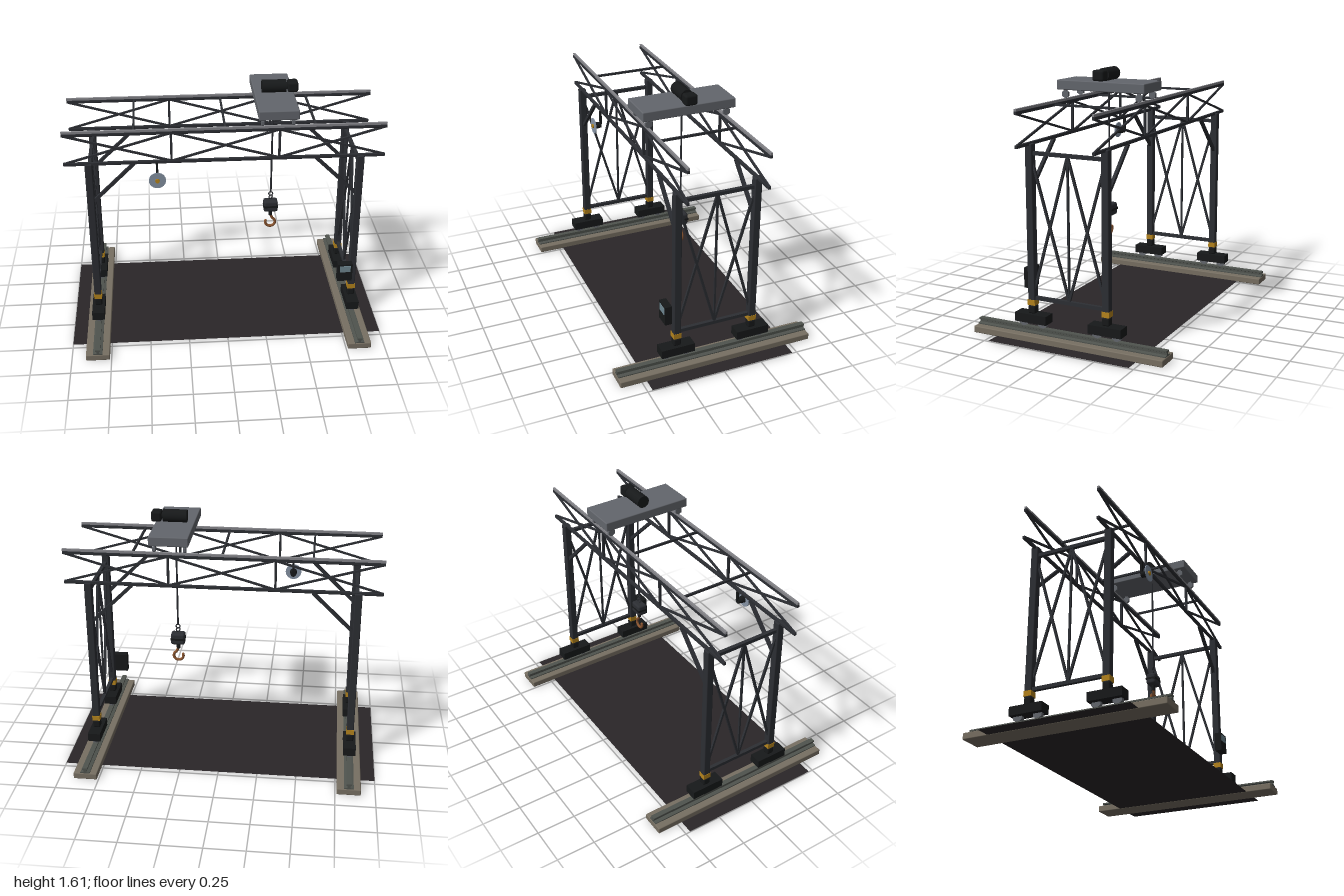
import * as THREE from 'three';
import { RoundedBoxGeometry } from 'three/addons/geometries/RoundedBoxGeometry.js';

const mat = (color, extra = {}) => {
  const m = new THREE.MeshStandardMaterial({ color });
  return Object.assign(m, extra);
};
const STEEL = mat(0x2c2e33), BLACK = mat(0x17191a), YELLOW = mat(0xb5841c), CONCRETE = mat(0x776f62);
const RAIL = mat(0x4f534e), GREY = mat(0x63666c), LIGHT = mat(0x85858a), COPPER = mat(0x8a5530);
const HEX = mat(0x63666c, { flatShading: true });
const GROUND = mat(0x2a2628, { side: THREE.DoubleSide });
const DISC = mat(0x8592a3), SCREEN = mat(0x6f8791);

export function createModel() {
  const model = new THREE.Group();
  model.name = 'gantryCrane';

  const add = (name, geo, material, x = 0, y = 0, z = 0) => {
    const mesh = new THREE.Mesh(geo, material);
    mesh.name = name;
    mesh.position.set(x, y, z);
    model.add(mesh);
    return mesh;
  };
  const box = (name, m, w, h, d, x, y, z) => add(name, new THREE.BoxGeometry(w, h, d), m, x, y, z);
  const rbox = (name, m, w, h, d, x, y, z, r = 0.006) =>
    add(name, new RoundedBoxGeometry(w, h, d, 2, r), m, x, y, z);
  const cyl = (name, m, r0, r1, len, axis, x, y, z, sides = 24) => {
    const geo = new THREE.CylinderGeometry(r0, r1, len, sides);
    if (axis === 'x') geo.rotateZ(-Math.PI / 2);
    if (axis === 'z') geo.rotateX(Math.PI / 2);
    return add(name, geo, m, x, y, z);
  };
  // Square bar between two points
  const bar = (name, m, a, b, t) => {
    const p = new THREE.Vector3(...a), q = new THREE.Vector3(...b);
    const mesh = add(name, new THREE.BoxGeometry(t, t, p.distanceTo(q)), m);
    mesh.position.copy(p).add(q).multiplyScalar(0.5);
    mesh.lookAt(q);
    return mesh;
  };

  const LX = 0.835, LZ = 0.25;

  // Ground sheet
  const ground = new THREE.PlaneGeometry(2, 0.94);
  ground.rotateX(-Math.PI / 2);
  add('ground', ground, GROUND, 0, 0.004, 0);

  // Runway rail section, extruded along z
  const half = [[0.03, 0], [0.03, 0.006], [0.008, 0.01], [0.008, 0.022], [0.016, 0.026], [0.016, 0.036]];
  const outline = [...half, ...half.map(([x, y]) => [-x, y]).reverse()];
  const railGeo = new THREE.ExtrudeGeometry(
    new THREE.Shape(outline.map(([x, y]) => new THREE.Vector2(x, y))), { depth: 1.27, bevelEnabled: false });
  railGeo.translate(0, 0, -0.635);

  for (const sx of [-1, 1]) {
    const x = sx * LX;
    rbox('railFoundation', CONCRETE, 0.15, 0.042, 1.275, x, 0.021, 0);
    add('runwayRail', railGeo, RAIL, x, 0.042, 0);

    for (const sz of [-1, 1]) {
      const z = sz * LZ;
      // Bogie with two wheels
      box('bogie', BLACK, 0.08, 0.055, 0.215, x, 0.137, z);
      for (const dz of [-0.065, 0.065]) {
        const wheel = cyl('bogieWheel', HEX, 0.033, 0.033, 0.022, 'x', x, 0.107, z + dz, 6);
        wheel.rotation.x = Math.PI / 6;
      }
      // Leg with warning band
      rbox('leg', STEEL, 0.046, 0.99, 0.046, x, 0.705, z);
      rbox('legFoot', BLACK, 0.048, 0.05, 0.048, x, 0.19, z, 0.01);
      box('warningBand', YELLOW, 0.05, 0.034, 0.05, x, 0.235, z);
      // Knee brace up to the girder
      bar('kneeBrace', STEEL, [sx * 0.82, 0.935, z], [sx * 0.56, 1.19, z], 0.02);
      // Crossed bracing of the half end frame
      bar('endBrace', STEEL, [x, 1.14, 0], [x, 0.3, sz * 0.24], 0.014);
      bar('endBrace', STEEL, [x, 0.27, 0], [x, 1.11, sz * 0.24], 0.014);
    }
    // End frame ties and centre post
    box('upperTie', STEEL, 0.022, 0.022, 2 * LZ, x, 1.143, 0);
    box('lowerTie', STEEL, 0.022, 0.022, 2 * LZ, x, 0.262, 0);
    box('centrePost', STEEL, 0.012, 0.87, 0.012, x, 0.702, 0);
  }

  // Two truss girders, three crossed panels each
  for (const z of [-LZ, LZ]) {
    rbox('bottomChord', STEEL, 1.97, 0.02, 0.018, 0, 1.198, z, 0.003);
    rbox('topChord', STEEL, 1.97, 0.02, 0.018, 0, 1.392, z, 0.003);
    box('trolleyRail', LIGHT, 1.97, 0.014, 0.014, 0, 1.409, z);
    for (const x of [-0.33, 0.33]) box('girderPost', STEEL, 0.014, 0.19, 0.014, x, 1.295, z);
    for (const c of [-0.655, 0, 0.655]) {
      for (const s of [-1, 1]) {
        bar('girderDiagonal', STEEL, [c - 0.32, 1.295 - s * 0.092, z], [c + 0.32, 1.295 + s * 0.092, z], 0.012);
      }
    }
  }
  for (const x of [-0.555, 0, 0.555]) box('girderTie', STEEL, 0.012, 0.014, 2 * LZ, x, 1.392, 0);

  // Trolley
  rbox('trolleyDeck', GREY, 0.245, 0.06, 0.595, 0.318, 1.499, 0);
  for (const x of [0.223, 0.411]) {
    for (const z of [-LZ, LZ]) {
      const wheel = cyl('trolleyWheel', HEX, 0.025, 0.025, 0.016, 'x', x, 1.441, z, 6);
      wheel.rotation.x = Math.PI / 6;
      box('wheelBracket', GREY, 0.014, 0.03, 0.02, x, 1.458, z);
    }
  }

  // Hoist motor and gearbox
  cyl('hoistMotor', BLACK, 0.04, 0.04, 0.15, 'x', 0.317, 1.568, 0);
  cyl('motorShaft', BLACK, 0.02, 0.02, 0.03, 'x', 0.397, 1.568, 0);
  rbox('gearbox', BLACK, 0.066, 0.066, 0.078, 0.433, 1.567, 0, 0.014);

  // Rope, shackles and hook block
  const hx = 0.316;
  cyl('hoistRope', STEEL, 0.006, 0.006, 0.66, 'y', hx, 1.15, 0, 8);
  [0.808, 0.783].forEach((y, i) => {
    const link = add('shackle', new THREE.TorusGeometry(0.013, 0.004, 8, 16), STEEL, hx, y, 0);
    link.rotation.y = i * 0.5;
  });
  rbox('hookBlock', STEEL, 0.092, 0.078, 0.066, hx, 0.723, 0, 0.014);
  box('blockBand', BLACK, 0.094, 0.014, 0.068, hx, 0.723, 0);
  cyl('hookShank', BLACK, 0.012, 0.012, 0.04, 'y', hx, 0.668, 0, 12);

  // Hook: neck curving into an open loop
  const hookPoints = [new THREE.Vector3(0.002, 0.062, 0), new THREE.Vector3(0.006, 0.045, 0)];
  for (let i = 0; i <= 9; i++) {
    const a = THREE.MathUtils.degToRad(62 - i * 29);
    hookPoints.push(new THREE.Vector3(Math.cos(a) * 0.032, Math.sin(a) * 0.032, 0));
  }
  const hookCurve = new THREE.CatmullRomCurve3(hookPoints);
  add('hook', new THREE.TubeGeometry(hookCurve, 48, 0.009, 10), COPPER, hx, 0.594, 0);
  const tip = hookPoints[hookPoints.length - 1];
  add('hookTip', new THREE.SphereGeometry(0.009, 10, 8), COPPER, hx + tip.x, 0.594 + tip.y, 0);

  // Warning bell hung from the front girder
  const bx = -0.42;
  box('bellHanger', BLACK, 0.014, 0.09, 0.014, bx, 1.152, 0.262);
  cyl('bellBody', BLACK, 0.024, 0.018, 0.045, 'z', bx, 1.1, 0.285);
  cyl('bellDisc', DISC, 0.052, 0.052, 0.006, 'z', bx, 1.1, 0.311, 32);
  cyl('bellHub', YELLOW, 0.014, 0.014, 0.01, 'z', bx, 1.1, 0.317, 16);

  // Control box on the front left leg
  box('controlBox', BLACK, 0.096, 0.125, 0.045, 0.777, 0.373, 0.295);
  box('controlScreen', SCREEN, 0.07, 0.045, 0.004, 0.777, 0.402, 0.319);

  return model;
}
